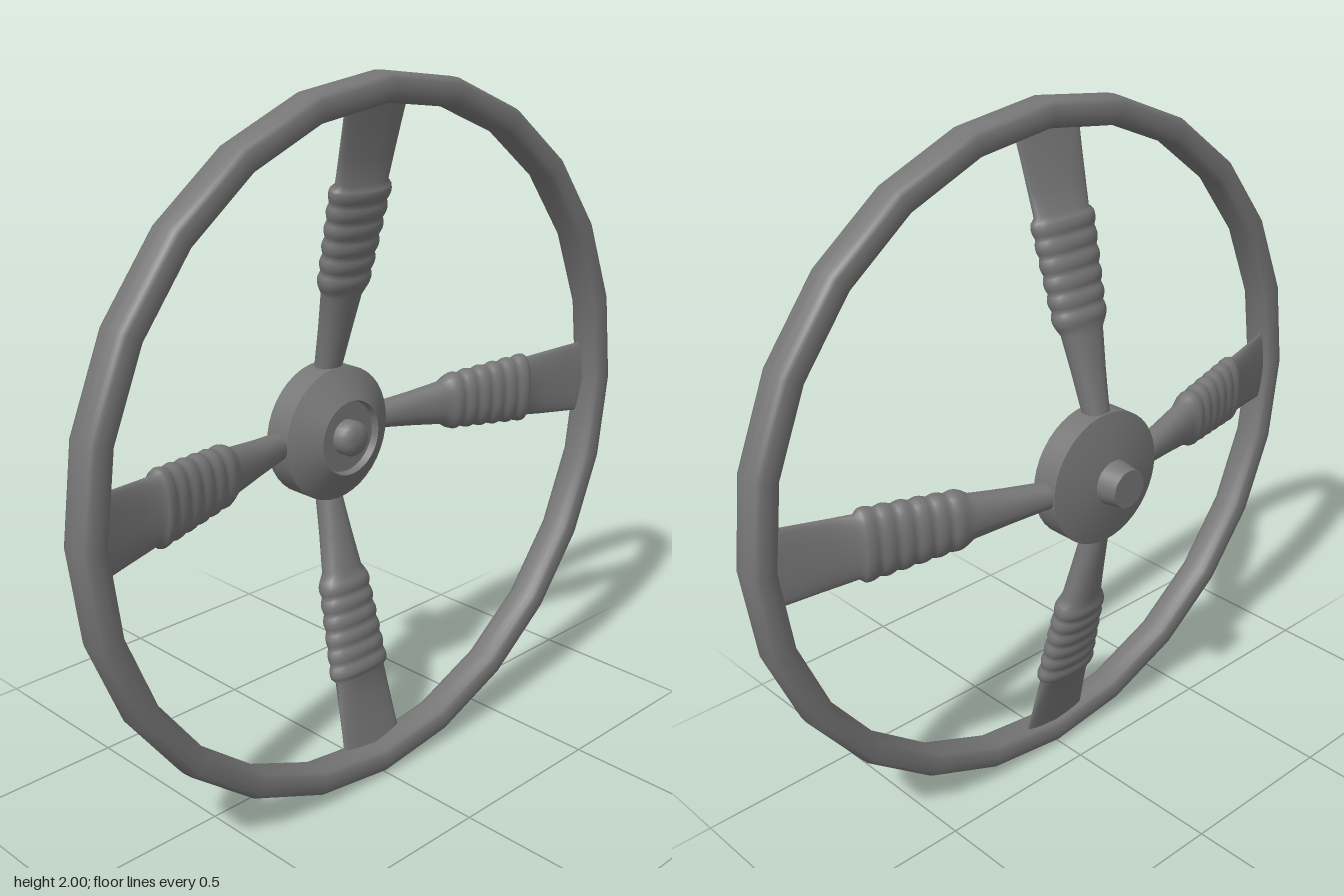
import * as THREE from 'three';
import { toCreasedNormals } from 'three/addons/utils/BufferGeometryUtils.js';

const darkGrey = new THREE.MeshStandardMaterial({ color: 0x767676 });

// Rounded-rectangle-like closed section; power < 1 squares it off
function section(a, hw, ht, power) {
  const c = Math.cos(a), s = Math.sin(a);
  return [hw * Math.sign(c) * Math.abs(c) ** power, ht * Math.sign(s) * Math.abs(s) ** power];
}

// Revolve a (radius, z) profile around the z axis
function revolve(points, segments) {
  const g = new THREE.LatheGeometry(points.map(p => new THREE.Vector2(...p)), segments);
  return g.rotateX(Math.PI / 2);
}

// Rows along the spoke: [radius, half width, half thickness]
function spokeRows() {
  const rows = [[0.12, 0.034, 0.034], [0.2, 0.038, 0.036], [0.3, 0.05, 0.038], [0.405, 0.065, 0.04]];
  const ridges = 6, start = 0.425, length = 0.285;
  for (let i = 0; i < ridges; i++) {
    for (let k = 0; k < 6; k++) {
      const t = (i + k / 6) / ridges;
      const bump = 0.006 * Math.sin(Math.PI * k / 6);
      rows.push([start + length * t, 0.079 + 0.023 * t + bump, 0.043 - 0.006 * t + bump]);
    }
  }
  rows.push([0.715, 0.093, 0.028], [0.78, 0.1, 0.018], [0.86, 0.107, 0.012], [0.955, 0.115, 0.01]);
  return rows;
}

// Loft the elliptical rows along a line leaning forward to the rim
function spokeGeometry() {
  const rows = spokeRows(), n = 24, pos = [], idx = [];
  for (const [r, hw, ht] of rows) {
    for (let j = 0; j < n; j++) {
      const [x, z] = section(j / n * Math.PI * 2, hw, ht, 0.9);
      pos.push(x, r - 0.24 * z, -0.105 + 0.245 * r + z);
    }
  }
  for (let i = 0; i < rows.length - 1; i++) {
    for (let j = 0; j < n; j++) {
      const a = i * n + j, b = i * n + (j + 1) % n;
      idx.push(a, a + n, b, b, a + n, b + n);
    }
  }
  const g = new THREE.BufferGeometry();
  g.setAttribute('position', new THREE.Float32BufferAttribute(pos, 3));
  g.setIndex(idx);
  g.computeVertexNormals();
  return g;
}

export function createModel() {
  const group = new THREE.Group();
  const wheel = new THREE.Group();
  wheel.name = 'wheel';
  wheel.position.y = 1;
  group.add(wheel);
  const add = (name, geometry) => {
    const mesh = new THREE.Mesh(geometry, darkGrey);
    mesh.name = name;
    wheel.add(mesh);
    return mesh;
  };

  // Rim: 24 straight lengths with a rounded section
  const rim = [];
  for (let i = 0; i <= 16; i++) {
    const [x, z] = section(i / 16 * Math.PI * 2, 0.04, 0.051, 0.65);
    rim.push([0.96 + x, 0.139 + z]);
  }
  add('rim', revolve(rim, 24));

  // Hub: drum with shallow cones front and back and a recessed front
  add('hub', toCreasedNormals(revolve([
    [0, -0.13], [0.07, -0.13], [0.193, -0.1], [0.193, -0.02], [0.107, 0.033], [0.102, 0.012], [0, 0.012],
  ], 40), 0.4));

  // Domed nut in the recess
  add('hubNut', toCreasedNormals(revolve([
    [0.05, 0.005], [0.05, 0.045], [0.042, 0.056], [0.024, 0.063], [0, 0.065],
  ], 24), 0.7));

  // Column end behind the hub
  add('column', toCreasedNormals(revolve([
    [0, -0.19], [0.055, -0.19], [0.066, -0.12],
  ], 24), 0.5));

  // Four spokes with ribbed grips
  const spoke = spokeGeometry();
  for (let i = 0; i < 4; i++) add('spoke' + (i + 1), spoke).rotation.z = i * Math.PI / 2;

  return group;
}
